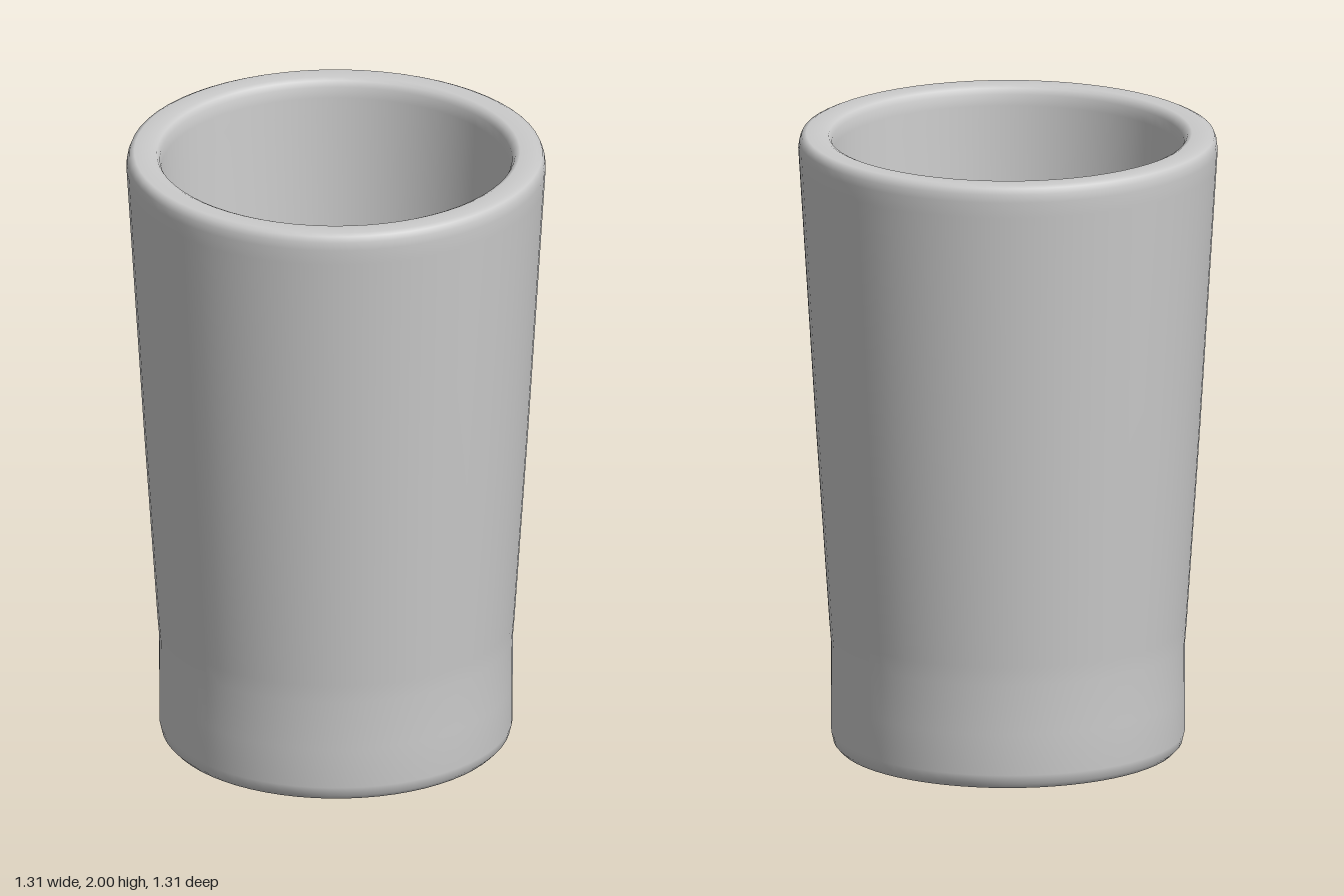
import * as THREE from 'three';

export function createModel() {
  const group = new THREE.Group();
  group.name = 'tumbler';
  const material = new THREE.MeshStandardMaterial({ color: 0xcccccc });

  // Closed wall section: underside, outer wall, rim, inner wall, floor
  const profile = [
    [0, 0], [0.25, 0.008], [0.5, 0.017], [0.53, 0.024], [0.545, 0.04], [0.552, 0.07],
    [0.552, 0.2], [0.553, 0.36], [0.558, 0.42], [0.6, 1.05], [0.652, 1.9],
    [0.655, 1.95], [0.652, 1.975], [0.645, 1.993], [0.63, 2],
    [0.575, 2], [0.56, 1.993], [0.55, 1.975], [0.546, 1.94],
    [0.545, 1.88], [0.5, 1.05], [0.458, 0.42], [0.453, 0.36],
    [0.452, 0.2], [0.445, 0.15], [0.43, 0.125], [0.4, 0.117], [0.2, 0.108], [0, 0.1],
  ].map(([r, y]) => new THREE.Vector2(r, y));

  const cup = new THREE.Mesh(new THREE.LatheGeometry(profile, 64), material);
  cup.name = 'cupBody';
  group.add(cup);
  return group;
}
